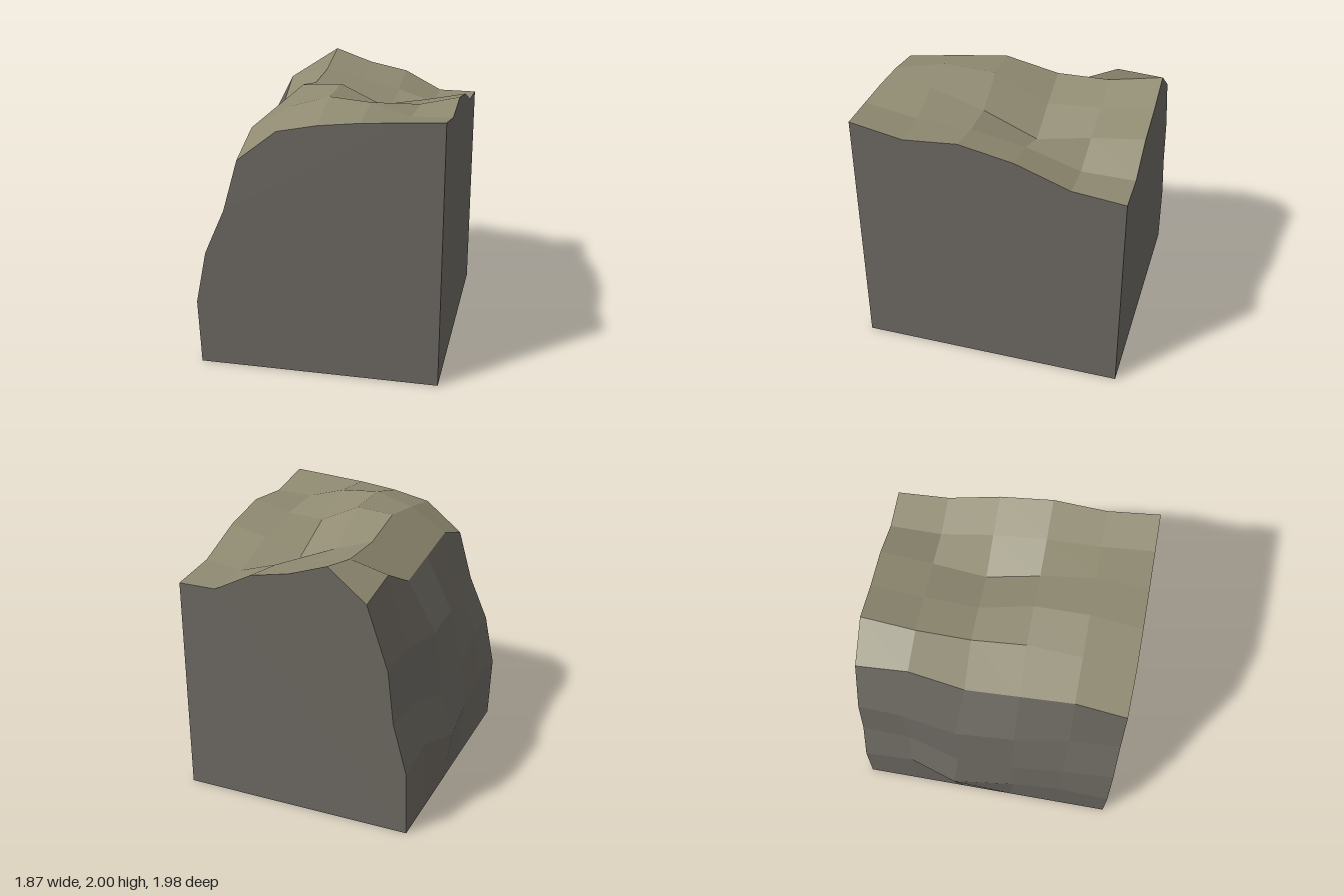
import * as THREE from 'three';

const X = [-0.53, -0.24, 0.05, 0.35, 0.64, 0.93];
const Z = [-0.99, -0.6, -0.2, 0.2, 0.6, 0.99];

// Ground heights, one row per z (back to front), left to right along x
const HEIGHTS = [
  [1.75, 1.98, 1.88, 1.82, 1.67, 1.67],
  [1.82, 1.895, 1.83, 1.76, 1.67, 1.71],
  [1.625, 1.885, 1.793, 1.675, 1.8, 1.86],
  [1.68, 1.97, 1.99, 1.85, 1.87, 1.94],
  [1.735, 1.91, 2.0, 1.975, 1.89, 1.9],
  [1.61, 1.84, 1.9, 1.935, 1.955, 1.975],
];

// Cliff cross-sections, one per z, from the foot up to just below the rim: [x, y, z]
const CLIFF = [
  [[-0.85, 0, -0.99], [-0.84, 0.49, -0.99], [-0.735, 0.88, -0.99], [-0.69, 1.28, -0.99]],
  [[-0.85, 0, -0.6], [-0.835, 0.53, -0.61], [-0.745, 0.87, -0.62], [-0.71, 1.315, -0.67]],
  [[-0.85, 0, -0.2], [-0.935, 0.455, -0.25], [-0.83, 0.77, -0.22], [-0.765, 1.265, -0.24]],
  [[-0.85, 0, 0.2], [-0.875, 0.455, 0.22], [-0.835, 0.82, 0.2], [-0.735, 1.26, 0.2]],
  [[-0.85, 0, 0.6], [-0.87, 0.54, 0.6], [-0.815, 0.9, 0.6], [-0.67, 1.27, 0.61]],
  [[-0.85, 0, 0.99], [-0.87, 0.49, 0.99], [-0.79, 0.885, 0.99], [-0.64, 1.225, 0.99]],
];

// Faceted surface through rows of points, one flat normal for each four-sided facet
function facets(rows) {
  const pos = [], nor = [];
  for (let j = 0; j < rows.length - 1; j++) {
    for (let i = 0; i < rows[j].length - 1; i++) {
      const [a, b, c, d] = [rows[j][i], rows[j + 1][i], rows[j + 1][i + 1], rows[j][i + 1]]
        .map((p) => new THREE.Vector3(...p));
      const n = c.clone().sub(a).cross(d.clone().sub(b)).normalize();
      for (const p of [a, b, d, b, c, d]) {
        pos.push(p.x, p.y, p.z);
        nor.push(n.x, n.y, n.z);
      }
    }
  }
  const geo = new THREE.BufferGeometry();
  geo.setAttribute('position', new THREE.Float32BufferAttribute(pos, 3));
  geo.setAttribute('normal', new THREE.Float32BufferAttribute(nor, 3));
  return geo;
}

// Flat wall outline, standing in the xy plane and then turned and moved into place
function wall(outline, turn, x, z) {
  const shape = new THREE.Shape(outline.map(([u, v]) => new THREE.Vector2(u, v)));
  return new THREE.ShapeGeometry(shape).rotateY(turn).translate(x, 0, z);
}

export function createModel() {
  const group = new THREE.Group();
  const ground = new THREE.MeshStandardMaterial({ name: 'khaki ground', color: 0x8f8a71, side: THREE.DoubleSide });
  const rock = new THREE.MeshStandardMaterial({ name: 'grey brown rock', color: 0x6b6760, side: THREE.DoubleSide });
  const add = (name, geo, mat) => {
    const mesh = new THREE.Mesh(geo, mat);
    mesh.name = name;
    group.add(mesh);
  };

  // Uneven top and the cliff that meets it along the rim
  const top = HEIGHTS.map((row, j) => row.map((y, i) => [X[i], y, Z[j]]));
  const cliff = CLIFF.map((section, j) => [...section, top[j][0]]);
  add('groundTop', facets(top), ground);
  add('cliffFace', facets(cliff), rock);

  // Flat cut walls; the underside stays open
  const section = (j) => [...cliff[j], ...top[j].slice(1), [0.93, 0]];
  add('frontWall', wall(section(5), 0, 0, 0.99), rock);
  add('backWall', wall(section(0).map(([x, y]) => [-x, y]), Math.PI, 0, -0.99), rock);
  const side = [[0.99, 0], [-0.99, 0], ...Z.map((z, j) => [-z, HEIGHTS[j][5]]).reverse()];
  add('sideWall', wall(side, Math.PI / 2, 0.93, 0), rock);
  return group;
}
